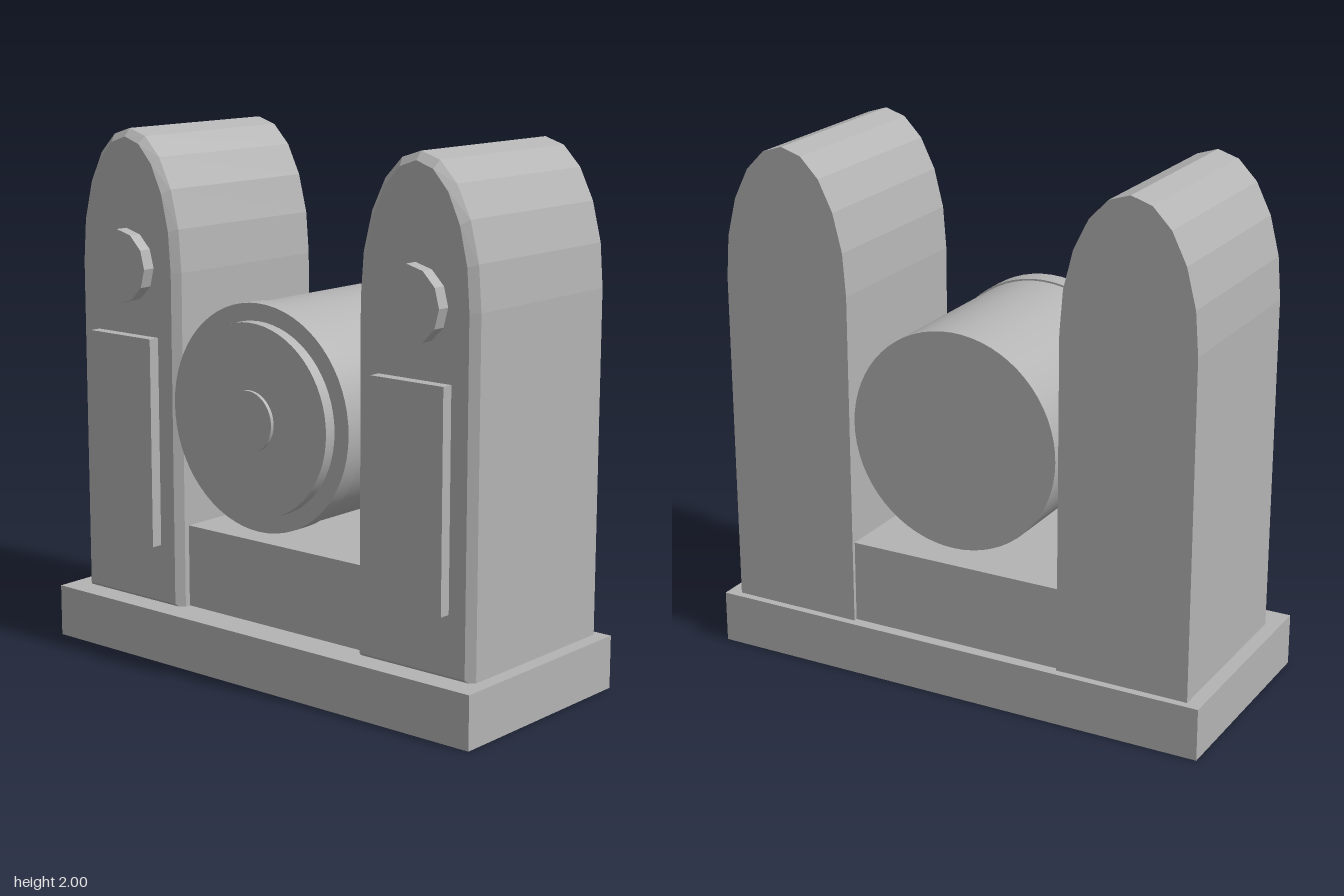
import * as THREE from 'three';

const grey = new THREE.MeshStandardMaterial({ color: 0xb4b4b4 });
grey.name = 'plain grey';

function add(group, name, geometry, x, y, z) {
  const mesh = new THREE.Mesh(geometry, grey);
  mesh.name = name;
  mesh.position.set(x, y, z);
  group.add(mesh);
  return mesh;
}

// Box given by its x, y and z limits
function box(group, name, x0, x1, y0, y1, z0, z1) {
  return add(group, name, new THREE.BoxGeometry(x1 - x0, y1 - y0, z1 - z0),
    (x0 + x1) / 2, (y0 + y1) / 2, (z0 + z1) / 2);
}

// Cylinder lying along z
function drum(group, name, radius, z0, z1, x, y, sides) {
  let geometry = new THREE.CylinderGeometry(radius, radius, z1 - z0, sides);
  geometry.rotateX(Math.PI / 2);
  if (sides < 20) {
    geometry = geometry.toNonIndexed();
    geometry.computeVertexNormals();
  }
  return add(group, name, geometry, x, y, (z0 + z1) / 2);
}

// Arched outline, drawn in by an inset
function archOutline(inset) {
  const half = 0.258 - inset, rise = 0.52 - inset, points = [];
  points.push([-half, 0.18 + inset], [half, 0.18 + inset]);
  for (let i = 0; i <= 10; i++) {
    const a = (i / 10) * Math.PI;
    points.push([half * Math.cos(a), 1.48 + rise * Math.sin(a)]);
  }
  return points;
}

// Arched block with a chamfer on its front edge only
function towerGeometry() {
  const rings = [[0, -0.4], [0, 0.317], [0.03, 0.343]].map(([inset, z]) =>
    archOutline(inset).map(([x, y]) => [x, y, z]));
  const positions = [];
  const tri = (a, b, c) => positions.push(...a, ...b, ...c);
  const n = rings[0].length;
  for (let r = 0; r < 2; r++) {
    for (let i = 0; i < n; i++) {
      const j = (i + 1) % n;
      const a = rings[r][i], b = rings[r][j], c = rings[r + 1][j], d = rings[r + 1][i];
      tri(a, b, c);
      tri(a, c, d);
    }
  }
  for (let i = 1; i < n - 1; i++) {
    tri(rings[2][0], rings[2][i], rings[2][i + 1]);
    tri(rings[0][0], rings[0][i + 1], rings[0][i]);
  }
  const geometry = new THREE.BufferGeometry();
  geometry.setAttribute('position', new THREE.Float32BufferAttribute(positions, 3));
  geometry.computeVertexNormals();
  return geometry;
}

export function createModel() {
  const model = new THREE.Group();
  model.name = 'twinTowerStand';

  // Plinth and the low block between the towers
  box(model, 'base', -1, 1, 0, 0.2, -0.43, 0.43);
  box(model, 'crossBlock', -0.44, 0.44, 0.19, 0.515, -0.385, 0.295);

  // Arched towers with a raised panel and a round boss
  const tower = towerGeometry();
  for (const [side, sign] of [['left', 1], ['right', -1]]) {
    const x = sign * 0.687;
    const group = new THREE.Group();
    group.name = side + 'Tower';
    add(group, side + 'TowerBody', tower, x, 0, 0);
    box(group, side + 'Panel', x - 0.157, x + 0.157, 0.43, 1.23, 0.33, 0.387);
    drum(group, side + 'Boss', 0.14, 0.33, 0.393, x, 1.49, 12);
    model.add(group);
  }

  // Central drum with its front rim, face plate and hub
  const centre = new THREE.Group();
  centre.name = 'centralDrum';
  drum(centre, 'drumBody', 0.413, -0.39, 0.33, 0, 1, 64);
  drum(centre, 'drumRim', 0.42, 0.295, 0.37, 0, 1, 64);
  drum(centre, 'facePlate', 0.356, 0.36, 0.416, 0, 1, 64);
  drum(centre, 'hub', 0.112, 0.4, 0.43, 0, 1, 48);
  model.add(centre);

  return model;
}
